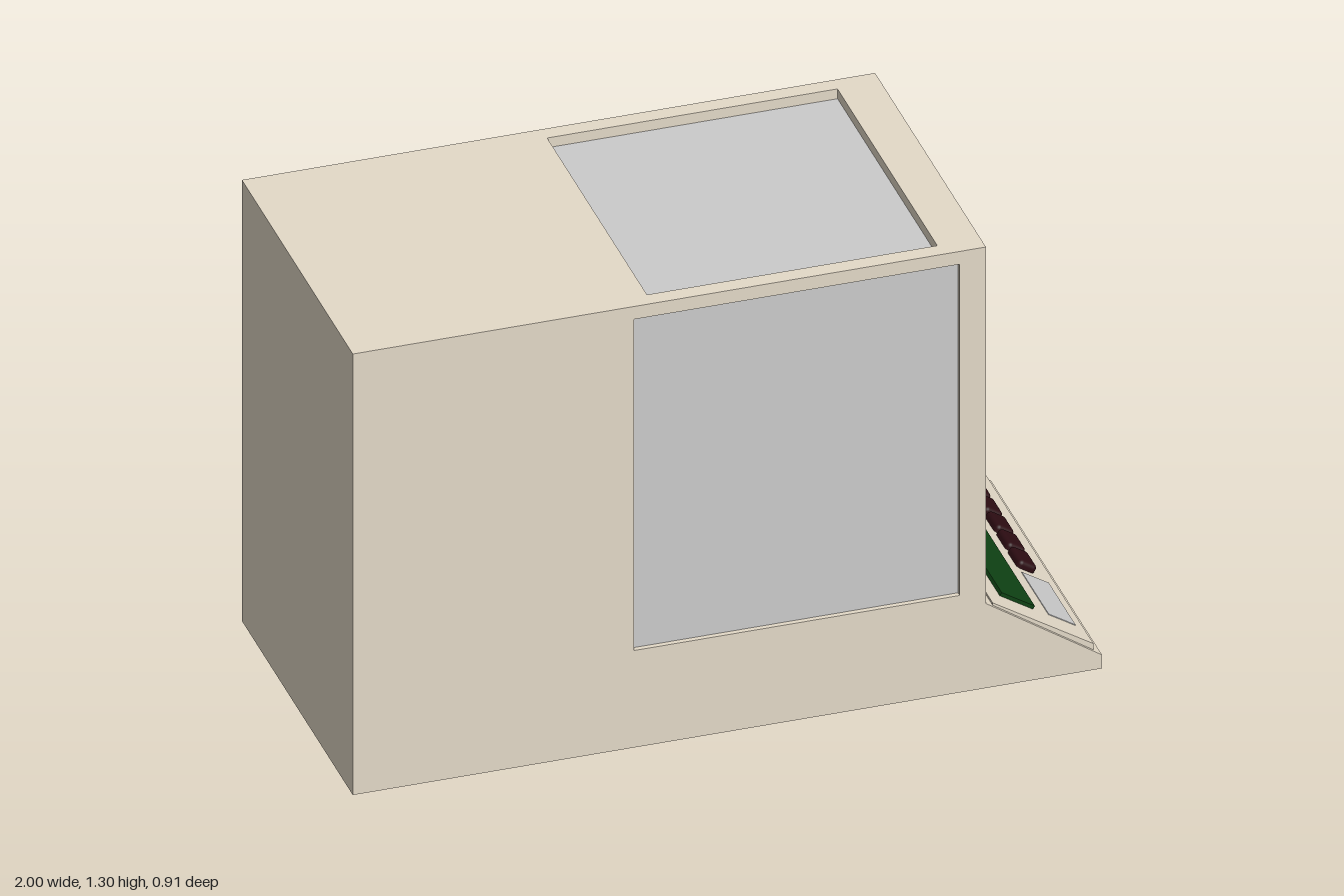
import * as THREE from 'three';
import { RoundedBoxGeometry } from 'three/addons/geometries/RoundedBoxGeometry.js';

const paint = (color) => new THREE.MeshStandardMaterial({ color });
const beige = paint(0xe4dac8), grey = paint(0xcccccc), green = paint(0x0f4214), maroon = paint(0x2c0c12);

// Overall limits of the cabinet
const L = -1, R = 0.69, H = 1.305, BACK = -0.445, FRONT = 0.457;
const T = 0.02, TOP_T = 0.035, PANE = 0.006;

function add(parent, name, geometry, material) {
  const mesh = new THREE.Mesh(geometry, material);
  mesh.name = name;
  parent.add(mesh);
  return mesh;
}

// Box given by its limits on each axis
function block(parent, name, [x0, x1], [y0, y1], [z0, z1], material) {
  const mesh = add(parent, name, new THREE.BoxGeometry(x1 - x0, y1 - y0, z1 - z0), material);
  mesh.position.set((x0 + x1) / 2, (y0 + y1) / 2, (z0 + z1) / 2);
  return mesh;
}

const corners = ([a, b, c, d]) => [[a, c], [b, c], [b, d], [a, d]].map((p) => new THREE.Vector2(...p));

// Wall with a window opening and a pane set at its inner side; faces local +z
function windowWall(parent, name, outer, hole, thickness) {
  const wall = new THREE.Group();
  wall.name = name;
  const shape = new THREE.Shape(corners(outer));
  shape.holes.push(new THREE.Path(corners(hole).reverse()));
  add(wall, name + 'Frame', new THREE.ExtrudeGeometry(shape, { depth: thickness, bevelEnabled: false }), beige);
  const [a, b, c, d] = hole;
  block(wall, name + 'Pane', [a, b], [c, d], [0, PANE], grey);
  parent.add(wall);
  return wall;
}

// Profile in x and y, extruded between two z limits
function prism(parent, name, points, z0, z1) {
  const shape = new THREE.Shape(points.map((p) => new THREE.Vector2(...p)));
  const mesh = add(parent, name, new THREE.ExtrudeGeometry(shape, { depth: z1 - z0, bevelEnabled: false }), beige);
  mesh.position.z = z0;
}

export function createModel() {
  const model = new THREE.Group();
  model.name = 'cabinetWithConsole';
  const z0 = BACK + T, z1 = FRONT - T;

  // Front and back walls
  windowWall(model, 'frontWall', [L, R, 0, H], [-0.25, 0.62, 0.287, 1.267], T).position.z = z1;
  const back = windowWall(model, 'backWall', [-R, -L, 0, H], [-0.62, 0.25, 0.287, 1.267], T);
  back.rotation.y = Math.PI;
  back.position.z = z0;

  // Top and right end, set between the front and back walls
  const top = windowWall(model, 'topWall', [L, R, -z1, -z0], [-0.2, 0.575, -0.412, 0.4], TOP_T);
  top.rotation.x = -Math.PI / 2;
  top.position.y = H - TOP_T;
  const end = windowWall(model, 'endWall', [-z1, -z0, 0, H - TOP_T], [-0.405, 0.393, 0.324, 1.23], T);
  end.rotation.y = Math.PI / 2;
  end.position.x = R - T;

  // Plain end, floor and rail on the back
  block(model, 'plainEnd', [L, L + T], [0, H - TOP_T], [z0, z1], beige);
  block(model, 'floor', [L + T, R - T], [0, T], [z0, z1], beige);
  block(model, 'backRail', [-0.3, 0.66], [1.276, 1.29], [-0.457, BACK], beige);

  // Sloping console base and its raised panel
  prism(model, 'consoleBase', [[R, 0], [1, 0], [1, 0.04], [R, 0.25]], BACK, FRONT);
  prism(model, 'consolePanel', [[0.711, 0.22], [0.98, 0.045], [0.98, 0.072], [0.711, 0.243]], -0.436, 0.448);

  // Controls, laid out along the slope (x down the slope, y out of it)
  const controls = new THREE.Group();
  controls.name = 'controls';
  controls.position.set(0.711, 0.243, 0);
  controls.rotation.z = -Math.atan2(0.171, 0.269);
  model.add(controls);
  block(controls, 'display', [0.049, 0.154], [-0.005, 0.01], [-0.366, 0.379], green);
  block(controls, 'cardPad', [0.205, 0.29], [-0.005, 0.002], [0.155, 0.373], grey);
  const buttons = [[0.046, 0.131], [-0.046, 0.039], [-0.138, -0.053], [-0.23, -0.146], [-0.36, -0.24]];
  buttons.forEach(([a, b], i) => {
    const button = add(controls, 'button' + (i + 1), new RoundedBoxGeometry(0.056, 0.032, b - a, 3, 0.012), maroon);
    button.position.set(0.228, 0.005, (a + b) / 2);
  });
  return model;
}
